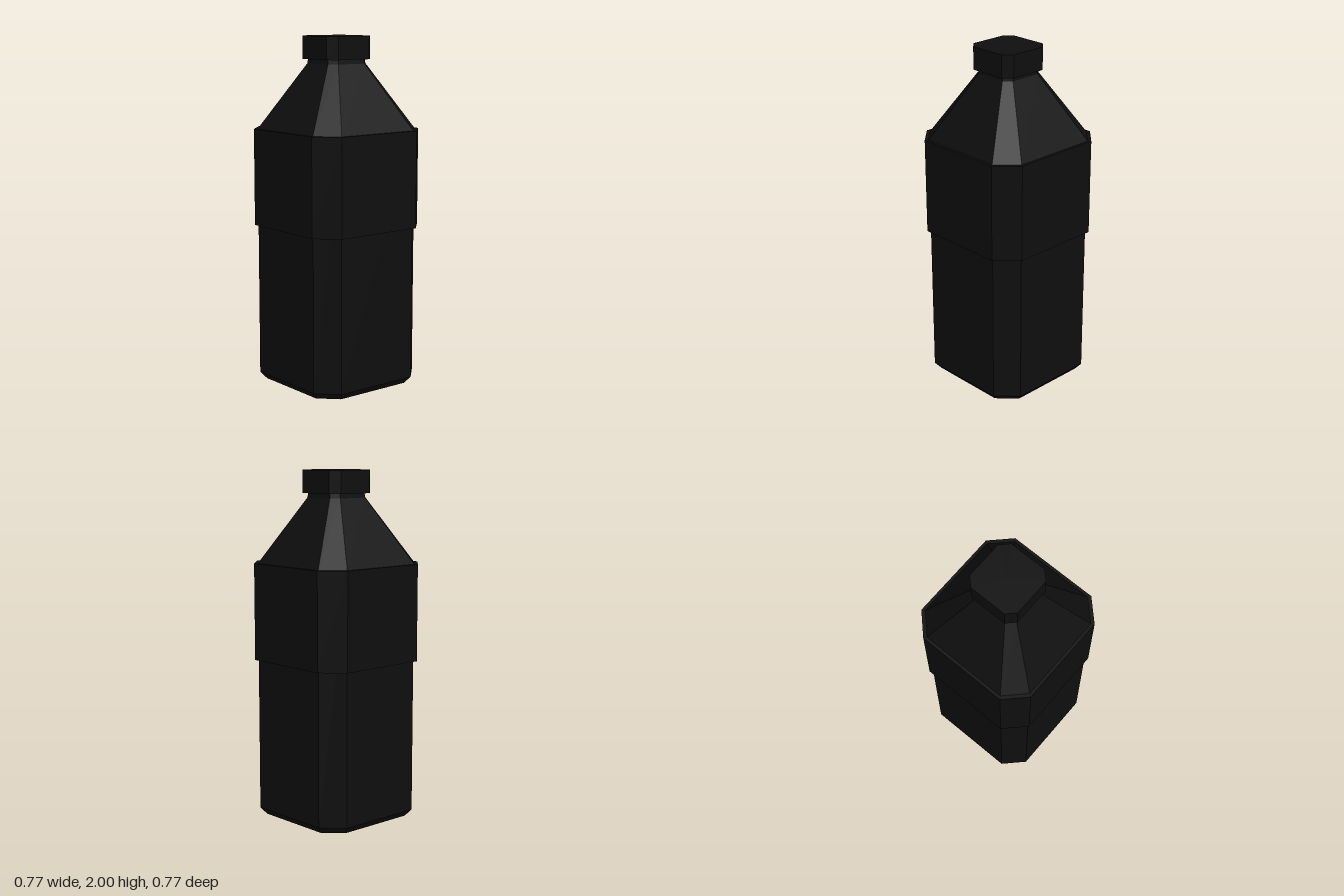
import * as THREE from 'three';

const CUT = 0.7; // flat half-width of each side relative to the half-width

// Corners of a chamfered square, counter-clockwise seen from above
const CORNERS = [
  [1, CUT], [1, -CUT], [CUT, -1], [-CUT, -1],
  [-1, -CUT], [-1, CUT], [-CUT, 1], [CUT, 1],
];

// Closed loft through chamfered squares given as [half-width, height], bottom to top
function loft(name, profile, material) {
  const positions = [];
  const n = CORNERS.length;
  const point = ([r, y], i) => [CORNERS[i % n][0] * r, y, CORNERS[i % n][1] * r];
  const tri = (a, b, c) => positions.push(...a, ...b, ...c);
  const first = profile[0];
  const last = profile[profile.length - 1];

  for (let i = 0; i < n; i++) {
    for (let k = 0; k < profile.length - 1; k++) {
      const a = point(profile[k], i), b = point(profile[k], i + 1);
      const c = point(profile[k + 1], i + 1), d = point(profile[k + 1], i);
      tri(a, b, c);
      tri(a, c, d);
    }
    tri([0, first[1], 0], point(first, i + 1), point(first, i));
    tri([0, last[1], 0], point(last, i), point(last, i + 1));
  }

  const geometry = new THREE.BufferGeometry();
  geometry.setAttribute('position', new THREE.Float32BufferAttribute(positions, 3));
  geometry.computeVertexNormals();
  const mesh = new THREE.Mesh(geometry, material);
  mesh.name = name;
  return mesh;
}

export function createModel() {
  const group = new THREE.Group();
  group.name = 'bottle';
  const dark = new THREE.MeshStandardMaterial({ color: 0x0e0e0e, flatShading: true });

  // Body with bevelled base, sloping shoulders and short neck
  group.add(loft('body', [
    [0.335, 0], [0.368, 0.04], [0.368, 1.475], [0.135, 1.845], [0.13, 1.88],
  ], dark));

  // Raised sleeve around the upper body
  group.add(loft('labelSleeve', [[0.385, 0.92], [0.385, 1.475]], dark));

  // Screw cap
  group.add(loft('cap', [[0.157, 1.87], [0.157, 2]], dark));

  return group;
}
